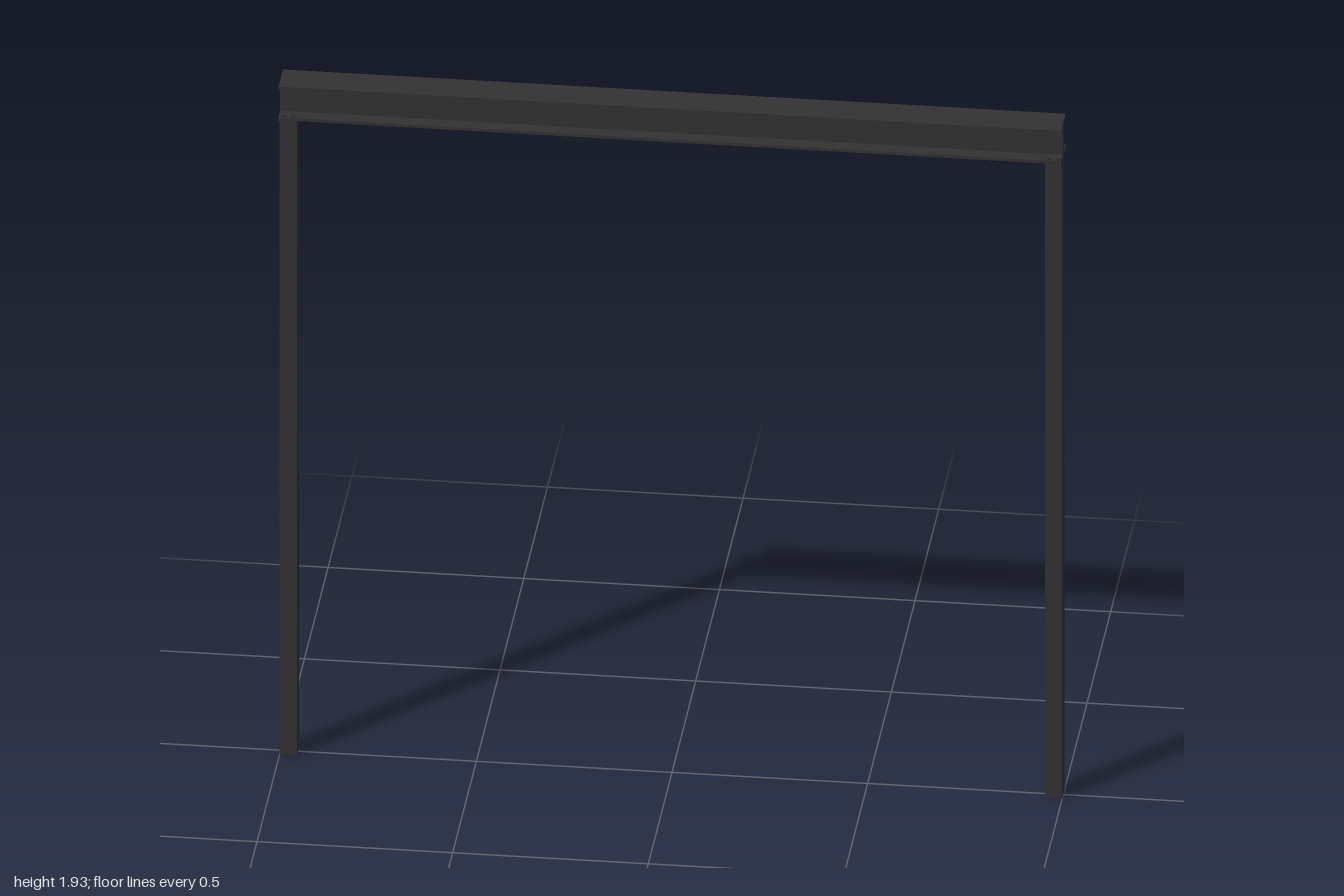
import * as THREE from 'three';

export function createModel() {
  const model = new THREE.Group();
  const steel = new THREE.MeshStandardMaterial({ color: 0x333333, flatShading: true });

  const add = (name, geometry, x, y, z) => {
    const mesh = new THREE.Mesh(geometry, steel);
    mesh.name = name;
    mesh.position.set(x, y, z);
    model.add(mesh);
  };

  // I-beam: one closed section swept along x
  const bottom = 1.833, top = 1.929, half = 0.047, web = 0.011, t = 0.008;
  const side = [
    [half, bottom], [half, bottom + t], [web, bottom + t],
    [web, top - t], [half, top - t], [half, top],
  ];
  const outline = [...side, ...side.map(([z, y]) => [-z, y]).reverse()];
  const section = new THREE.Shape(outline.map(([z, y]) => new THREE.Vector2(z, y)));
  const beam = new THREE.ExtrudeGeometry(section, { depth: 2, bevelEnabled: false });
  beam.translate(0, 0, -1).rotateY(Math.PI / 2);
  add('beam', beam, 0, 0, 0);

  // Posts with a cap plate bolted to the lower flange
  const postWidth = 0.044, postX = 1 - postWidth / 2;
  const post = new THREE.BoxGeometry(postWidth, 1.829, postWidth);
  const plate = new THREE.BoxGeometry(postWidth, 0.005, half * 2);
  const bolt = new THREE.CylinderGeometry(0.0075, 0.0075, 0.021, 6);
  for (const s of [-1, 1]) {
    const label = s > 0 ? 'left' : 'right';
    add(label + 'Post', post, s * postX, 1.829 / 2, 0);
    add(label + 'CapPlate', plate, s * postX, 1.8305, 0);
    for (const dx of [-0.012, 0.012]) {
      for (const z of [-0.038, 0.038]) add(label + 'Bolt', bolt, s * postX + dx, 1.8355, z);
    }
  }
  return model;
}
